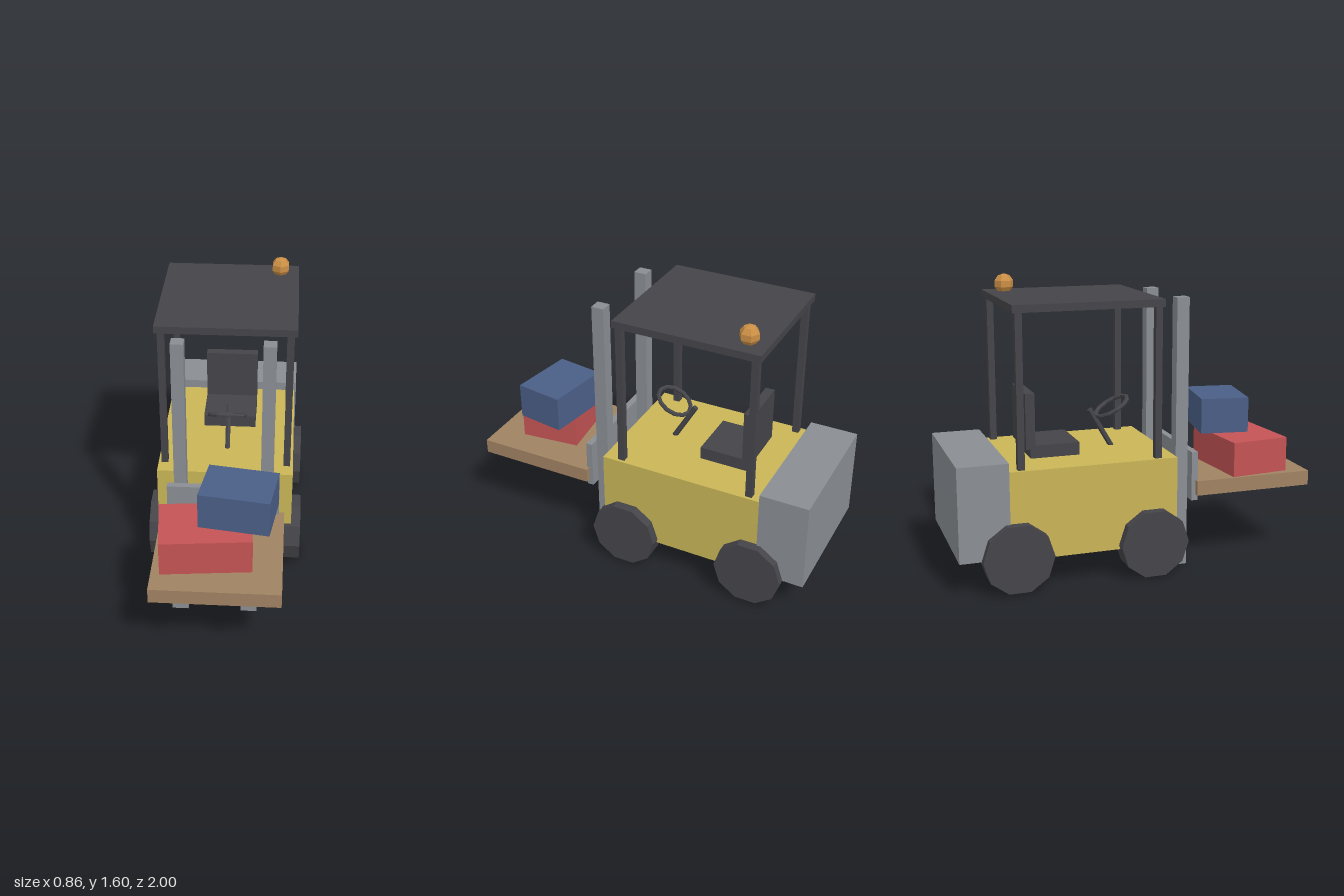
import * as THREE from 'three';

const paint = (name, color) => {
  const m = new THREE.MeshStandardMaterial({ color });
  m.name = name;
  m.flatShading = true;
  return m;
};

export function createModel() {
  const yellow = paint('yellow paint', 0xc9b557);
  const steel = paint('grey steel', 0x8a8e93);
  const dark = paint('dark rubber', 0x454449);
  const wood = paint('wood', 0xa08262);
  const red = paint('red box', 0xc45354);
  const blue = paint('blue box', 0x4a5f87);
  const amber = paint('amber', 0xcb8f45);

  const model = new THREE.Group();
  model.name = 'forklift';

  const add = (name, geometry, material, x, y, z) => {
    const mesh = new THREE.Mesh(geometry, material);
    mesh.name = name;
    mesh.position.set(x, y, z);
    model.add(mesh);
    return mesh;
  };
  // Box given by its ranges in y and z, centred on x
  const box = (name, material, x, width, y0, y1, z0, z1) =>
    add(name, new THREE.BoxGeometry(width, y1 - y0, z1 - z0), material,
      x, (y0 + y1) / 2, (z0 + z1) / 2);

  // Chassis and rear counterweight
  box('body', yellow, 0, 0.75, 0.17, 0.65, -0.735, 0.19);
  box('counterweight', steel, 0, 0.77, 0.19, 0.7, -1, -0.73);

  // Overhead guard
  box('roof', dark, 0, 0.75, 1.46, 1.5, -0.695, 0.115);

  for (const side of [1, -1]) {
    const label = side > 0 ? 'left' : 'right';
    // Roof posts and ten-sided wheels
    for (const [end, postZ, wheelZ] of [['Front', 0.087, 0.05], ['Rear', -0.66, -0.695]]) {
      box(label + end + 'Post', dark, side * 0.34, 0.037, 0.64, 1.465, postZ - 0.0185, postZ + 0.0185);
      const wheel = add(label + end + 'Wheel', new THREE.CylinderGeometry(0.19, 0.19, 0.135, 10),
        dark, side * 0.36, 0.193, wheelZ);
      wheel.rotation.z = Math.PI / 2;
    }
    // Mast rail and fork
    box(label + 'MastRail', steel, side * 0.236, 0.068, 0, 1.492, 0.22, 0.29);
    box(label + 'Fork', steel, side * 0.17, 0.08, 0.38, 0.41, 0.32, 0.998);
  }

  // Fork carriage
  box('forkCarriage', steel, 0, 0.61, 0.377, 0.65, 0.302, 0.338);

  // Seat
  box('seatCushion', dark, 0, 0.3, 0.645, 0.72, -0.56, -0.29);
  box('seatBack', dark, 0, 0.3, 0.7, 1.002, -0.585, -0.533);

  // Steering
  const column = add('steeringColumn', new THREE.CylinderGeometry(0.015, 0.015, 0.27, 6),
    dark, 0, 0.745, -0.12);
  column.rotation.x = -Math.PI / 6;
  const steering = add('steeringWheel', new THREE.TorusGeometry(0.1, 0.012, 6, 12),
    dark, 0, 0.87, -0.06);
  steering.rotation.x = Math.PI / 3;

  // Load
  box('pallet', wood, 0, 0.67, 0.41, 0.492, 0.325, 1);
  box('lowerCrate', red, -0.07, 0.473, 0.492, 0.685, 0.522, 0.858).rotation.y = 0.1;
  box('upperCrate', blue, 0.1, 0.37, 0.685, 0.885, 0.483, 0.757).rotation.y = -0.15;

  // Warning lamp
  const lamp = add('beacon', new THREE.SphereGeometry(0.055, 6, 5), amber, 0.27, 1.54, -0.59);
  lamp.rotation.y = Math.PI / 2;

  return model;
}
